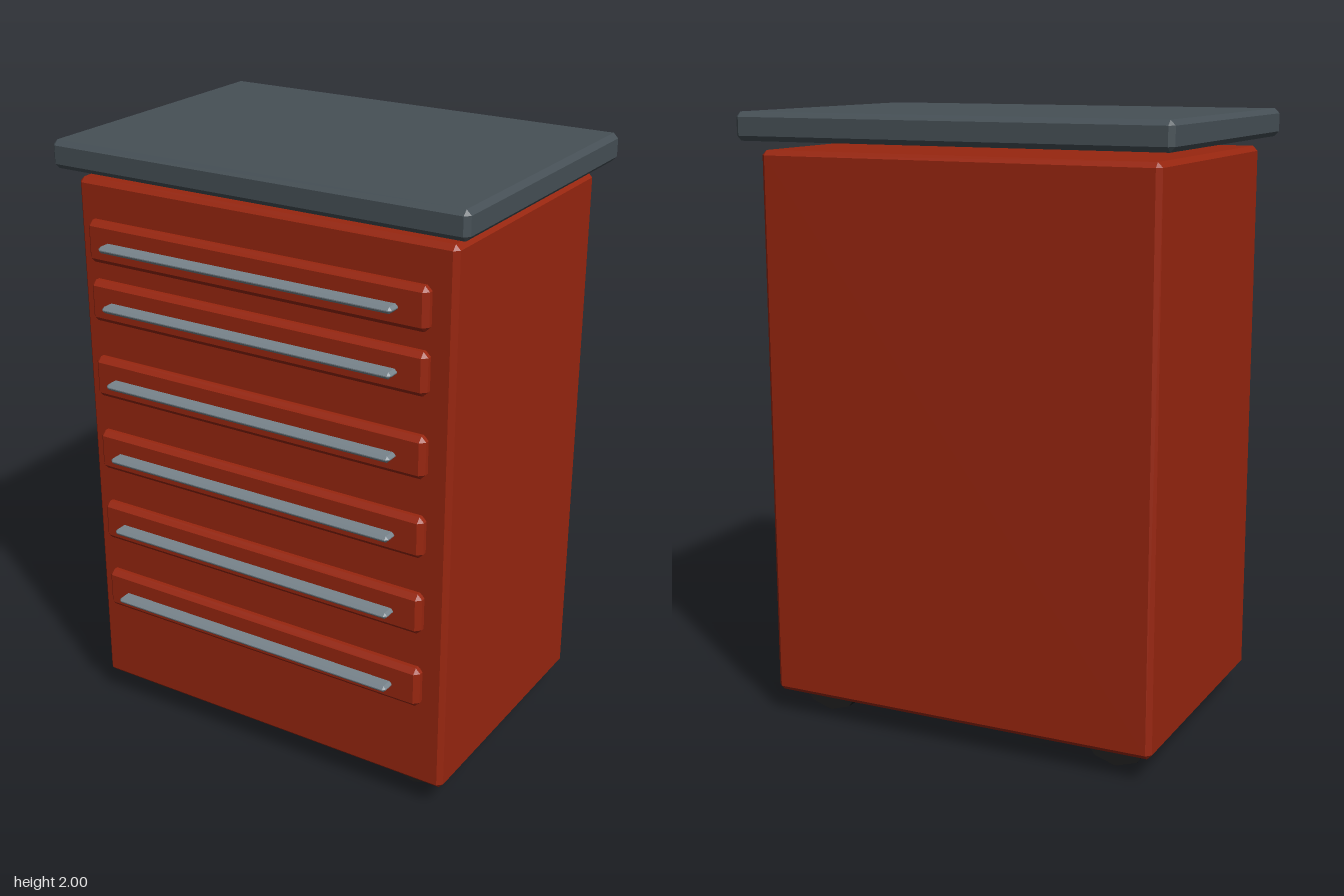
import * as THREE from 'three';
import { ConvexGeometry } from 'three/addons/geometries/ConvexGeometry.js';

const paint = (name, color) => {
  const material = new THREE.MeshStandardMaterial({ color });
  material.name = name;
  return material;
};

// Box with every edge cut at 45 degrees: three corner points per box corner
function chamferedBox(w, h, d, c) {
  const points = [];
  for (const sx of [-1, 1]) for (const sy of [-1, 1]) for (const sz of [-1, 1]) {
    const x = w / 2, y = h / 2, z = d / 2;
    points.push(
      new THREE.Vector3(sx * x, sy * (y - c), sz * (z - c)),
      new THREE.Vector3(sx * (x - c), sy * y, sz * (z - c)),
      new THREE.Vector3(sx * (x - c), sy * (y - c), sz * z)
    );
  }
  return new ConvexGeometry(points);
}

export function createModel() {
  const red = paint('red paint', 0x98260f);
  const slate = paint('slate worktop', 0x465056);
  const steel = paint('steel', 0x78848c);
  const rubber = paint('black rubber', 0x1c1c1c);
  red.flatShading = slate.flatShading = steel.flatShading = rubber.flatShading = true;

  const model = new THREE.Group();
  model.name = 'toolCabinet';
  const add = (name, geometry, material, x, y, z) => {
    const mesh = new THREE.Mesh(geometry, material);
    mesh.name = name;
    mesh.position.set(x, y, z);
    model.add(mesh);
    return mesh;
  };

  // Cabinet and the worktop floating just above it
  add('cabinet', chamferedBox(1.34, 1.8, 0.91, 0.016), red, 0, 0.98, -0.025);
  add('worktop', chamferedBox(1.45, 0.09, 1.016, 0.016), slate, 0, 1.955, -0.027);

  // Drawer fronts, each with a long handle
  const drawerGeometry = chamferedBox(1.21, 0.136, 0.046, 0.016);
  const handleGeometry = chamferedBox(1.04, 0.021, 0.053, 0.009);
  for (const y of [1.695, 1.5, 1.24, 0.98, 0.72, 0.46]) {
    add('drawerFront', drawerGeometry, red, 0, y, 0.457);
    add('drawerHandle', handleGeometry, steel, 0, y, 0.508);
  }

  // Four ten-sided wheels, partly sunk into the cabinet, corner downwards
  const wheelGeometry = new THREE.CylinderGeometry(0.12, 0.12, 0.072, 10);
  wheelGeometry.rotateX(Math.PI / 2);
  for (const x of [-0.52, 0.52]) for (const z of [-0.35, 0.3]) {
    add('wheel', wheelGeometry, rubber, x, 0.12, z);
  }

  return model;
}
